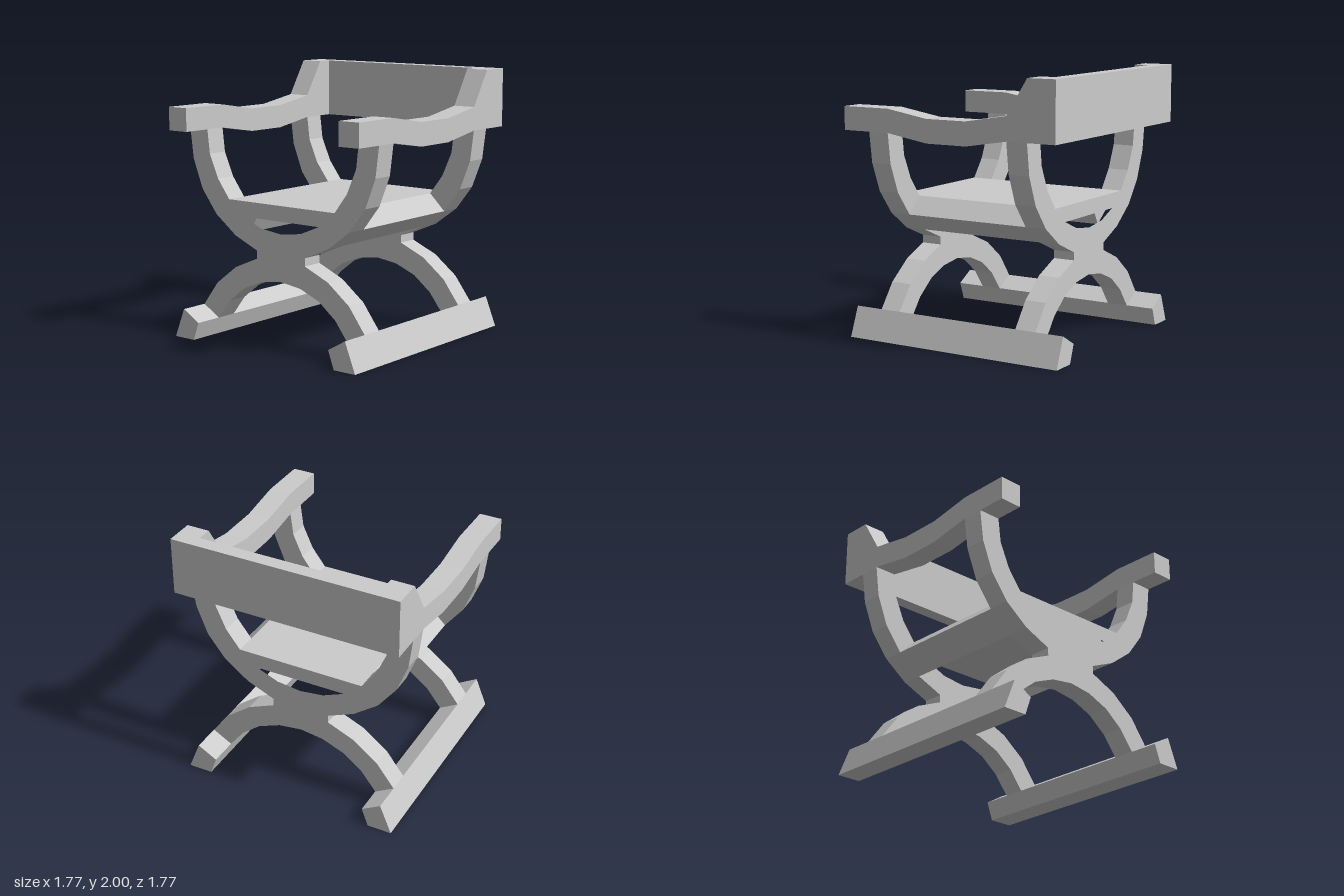
import * as THREE from 'three';

const material = new THREE.MeshStandardMaterial({ color: 0xcccccc, flatShading: true });

const toVectors = (points) => points.map(([x, y]) => new THREE.Vector2(x, y));
const mirrorX = (points) => points.map(([x, y]) => [-x, y]);
// closes a right-hand outline with its mirror image
const symmetric = (points) =>
  [...points, ...mirrorX(points.filter(([x]) => x !== 0)).reverse()];

// prism from an outline, running from z = start over the given depth
function prism(outline, start, depth, hole) {
  const shape = new THREE.Shape(toVectors(outline));
  if (hole) shape.holes.push(new THREE.Path(toVectors(hole)));
  return new THREE.ExtrudeGeometry(shape, { depth, bevelEnabled: false }).translate(0, 0, start);
}

export function createModel() {
  const group = new THREE.Group();
  const add = (name, geometry) => {
    const mesh = new THREE.Mesh(geometry, material);
    mesh.name = name;
    group.add(mesh);
  };

  // crossed frames: upper U joined to lower arch, with a slot under the seat
  const frame = symmetric([
    [0.5, 1.055], [0.61, 1.2], [0.69, 1.38], [0.712, 1.56],
    [0.887, 1.56], [0.857, 1.33], [0.77, 1.11], [0.63, 0.93], [0.44, 0.79],
    [0.228, 0.7], [0.228, 0.64], [0.44, 0.55], [0.63, 0.405], [0.768, 0.222],
    [0.62, 0.137], [0.505, 0.285], [0.357, 0.4], [0.183, 0.47], [0, 0.495],
  ]);
  const slot = symmetric([[0.357, 0.94], [0.188, 0.87], [0, 0.847]]);
  add('frontFrame', prism(frame, 0.5, 0.165, slot));
  add('backFrame', prism(frame, -0.665, 0.165, slot));

  // seat slab with its side rails between the frames
  const seat = symmetric([[0.5, 1.055], [0.63, 0.93], [0.44, 0.79], [0.357, 0.94]]);
  add('seat', prism(seat, -0.5, 1));

  // foot rails and armrests on both sides
  const foot = [[0.768, 0.222], [0.857, 0], [0.67, 0], [0.62, 0.137]];
  // armrest side outline as [-z, y], rising to the back post
  const arm = [
    [-0.887, 1.735], [-0.5, 1.735], [-0.165, 1.68], [0.165, 1.68], [0.5, 1.735],
    [0.665, 2], [0.887, 2], [0.887, 1.56], [0.5, 1.56], [0.165, 1.505],
    [-0.165, 1.505], [-0.5, 1.56], [-0.887, 1.56],
  ];
  for (const [side, sign] of [['left', 1], ['right', -1]]) {
    add(side + 'FootRail', prism(sign > 0 ? foot : mirrorX(foot), -0.887, 1.774));
    add(side + 'Armrest',
      prism(arm, -0.0875, 0.175).rotateY(Math.PI / 2).translate(sign * 0.7995, 0, 0));
  }

  // backrest board between the back posts
  add('backrest', new THREE.BoxGeometry(1.424, 0.44, 0.107).translate(0, 1.78, -0.8335));

  return group;
}
